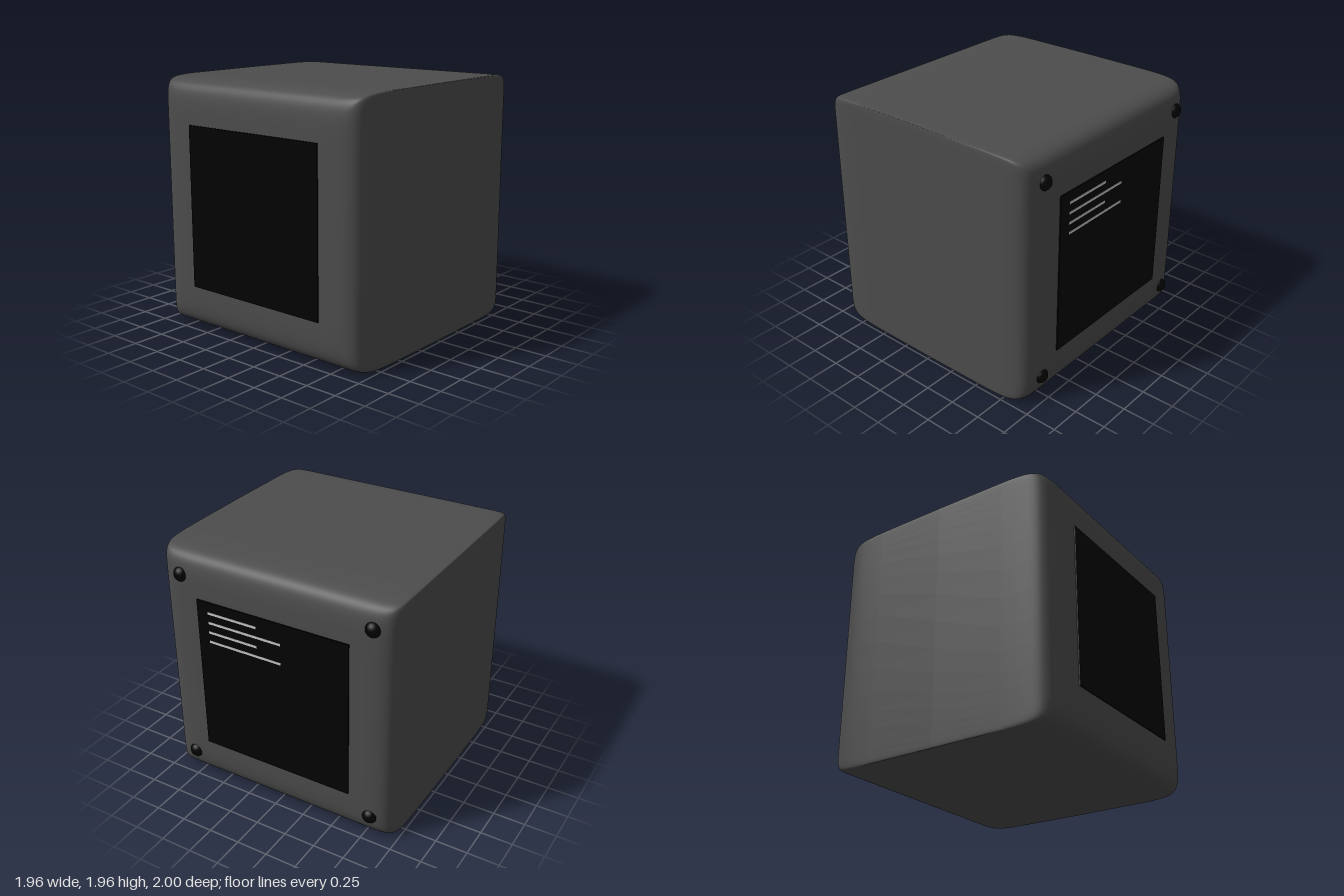
import * as THREE from 'three';
import { mergeGeometries, mergeVertices } from 'three/addons/utils/BufferGeometryUtils.js';

const HALF = 0.98;      // half width of the cube body
const MID_Y = 0.98;     // height of the body's centre
const MID_Z = 0.01;     // depth of the body's centre
const POWER = 2 / 13;   // superellipse power of the outline seen from the side

const material = (color) => new THREE.MeshStandardMaterial({ color });

// One quarter of the shell: runs from the front centre over a side to the back centre.
// The long edges are sharp halfway and soften towards the front and back corners.
function shellSide() {
  const geometry = new THREE.PlaneGeometry(2, Math.PI, 24, 96);
  const pos = geometry.attributes.position;
  for (let i = 0; i < pos.count; i++) {
    const s = pos.getX(i);
    const angle = pos.getY(i);
    const u = Math.sign(s) * (1 - Math.pow(1 - Math.abs(s), 3));
    const depth = Math.pow(Math.abs(Math.sin(angle)), POWER);
    const size = HALF * Math.pow(Math.max(Math.cos(angle) - 1e-6, 0), POWER);
    const m = 12 + 188 * (1 - depth * depth);
    const h = size * Math.pow(1 + Math.pow(Math.abs(u), m), -1 / m);
    pos.setXYZ(i, u * h, h, -HALF * Math.sign(angle) * depth);
  }
  geometry.deleteAttribute('normal');
  geometry.deleteAttribute('uv');
  return geometry;
}

// Whole shell: the quarter turned four times and welded
function shell() {
  const sides = [0, 1, 2, 3].map((k) => shellSide().rotateZ(k * Math.PI / 2));
  const geometry = mergeVertices(mergeGeometries(sides), 1e-6);
  geometry.computeVertexNormals();
  return geometry;
}

export function createModel() {
  const model = new THREE.Group();
  const grey = material(0x4d4d4d);
  const black = material(0x020202);
  const light = material(0xcccccc);

  function add(name, geometry, mat, x, y, z) {
    const mesh = new THREE.Mesh(geometry, mat);
    mesh.name = name;
    mesh.position.set(x, y, z);
    model.add(mesh);
    return mesh;
  }

  add('body', shell(), grey, 0, MID_Y, MID_Z);

  // Front screen and back label plate
  const panel = new THREE.BoxGeometry(1.265, 1.265, 0.03);
  add('frontScreen', panel, black, 0, MID_Y, 0.985);
  add('backPlate', panel, black, 0, MID_Y, -0.965);

  // Printed lines on the back plate, alternating short and long
  for (let i = 0; i < 4; i++) {
    const length = i % 2 ? 0.62 : 0.42;
    add('plateLine', new THREE.BoxGeometry(length, 0.02, 0.003), light,
      0.537 - length / 2, 1.525 - i * 0.079, -0.98);
  }

  // Four domed feet on the back
  const foot = new THREE.SphereGeometry(0.058, 32, 20);
  for (const x of [-0.8, 0.78]) {
    for (const y of [-0.787, 0.787]) {
      add('backFoot', foot, black, x, MID_Y + y, -0.945).scale.z = 0.95;
    }
  }
  return model;
}
